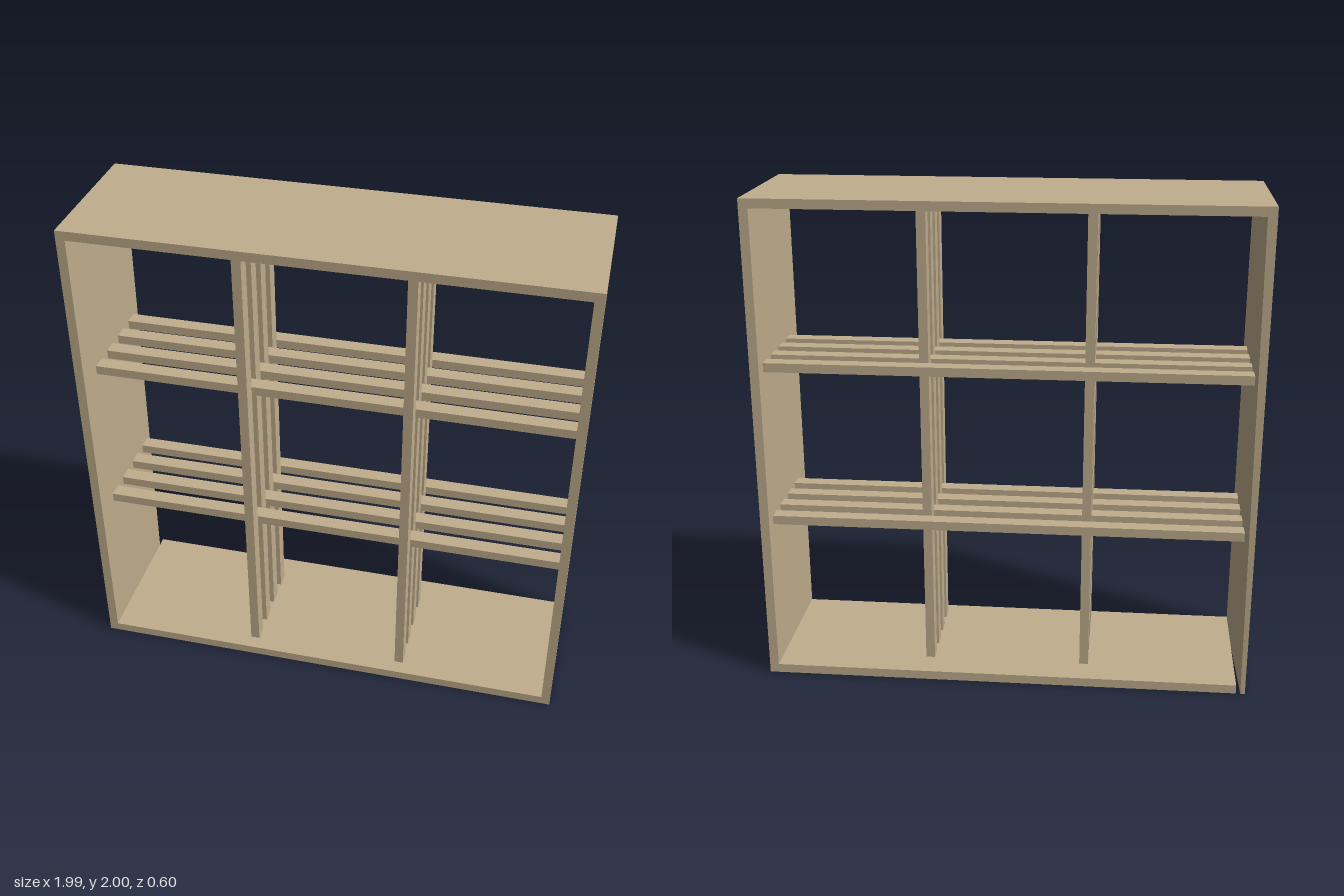
import * as THREE from 'three';

export function createModel() {
  const wood = new THREE.MeshStandardMaterial({ color: 0xc0ad8d });
  wood.name = 'light wood';
  const model = new THREE.Group();
  model.name = 'slattedShelf';

  const T = 0.037;        // board thickness
  const HALF = 0.993;     // half of the outer width
  const DEPTH = 0.6;
  const LAYER = 0.06;     // depth of one slat layer
  const OFFSET = 0.326;   // slats from the middle of the frame
  const inner = 2 * (HALF - T);

  function board(name, w, h, d, x, y, z) {
    const mesh = new THREE.Mesh(new THREE.BoxGeometry(w, h, d), wood);
    mesh.name = name;
    mesh.position.set(x, y, z);
    model.add(mesh);
    return mesh;
  }

  // Outer frame
  board('topPanel', inner, T, DEPTH, 0, 2 - T / 2, 0);
  board('bottomPanel', inner, T, DEPTH, 0, T / 2, 0);
  board('leftPanel', T, 2, DEPTH, HALF - T / 2, 1, 0);
  const rightPanel = board('rightPanel', T, 2, DEPTH, -HALF + T / 2, 1, 0);

  // The right panel thins out at its inner, lower back corner
  const p = rightPanel.geometry.attributes.position;
  for (let i = 0; i < p.count; i++) {
    if (p.getX(i) > 0 && p.getY(i) < 0 && p.getZ(i) < 0) p.setX(i, 0);
  }
  rightPanel.geometry = rightPanel.geometry.toNonIndexed();
  rightPanel.geometry.computeVertexNormals();

  // Interleaved layers of upright and level slats, front to back
  for (let i = 0; i < 4; i++) {
    const z = 0.21 - i * 2 * LAYER;
    for (const side of [-1, 1]) {
      board('uprightSlat', T, 2 - 2 * T, LAYER, side * OFFSET, 1, z);
      board('levelSlat', inner, T, LAYER, 0, 1 + side * OFFSET, z - LAYER);
    }
  }
  return model;
}
